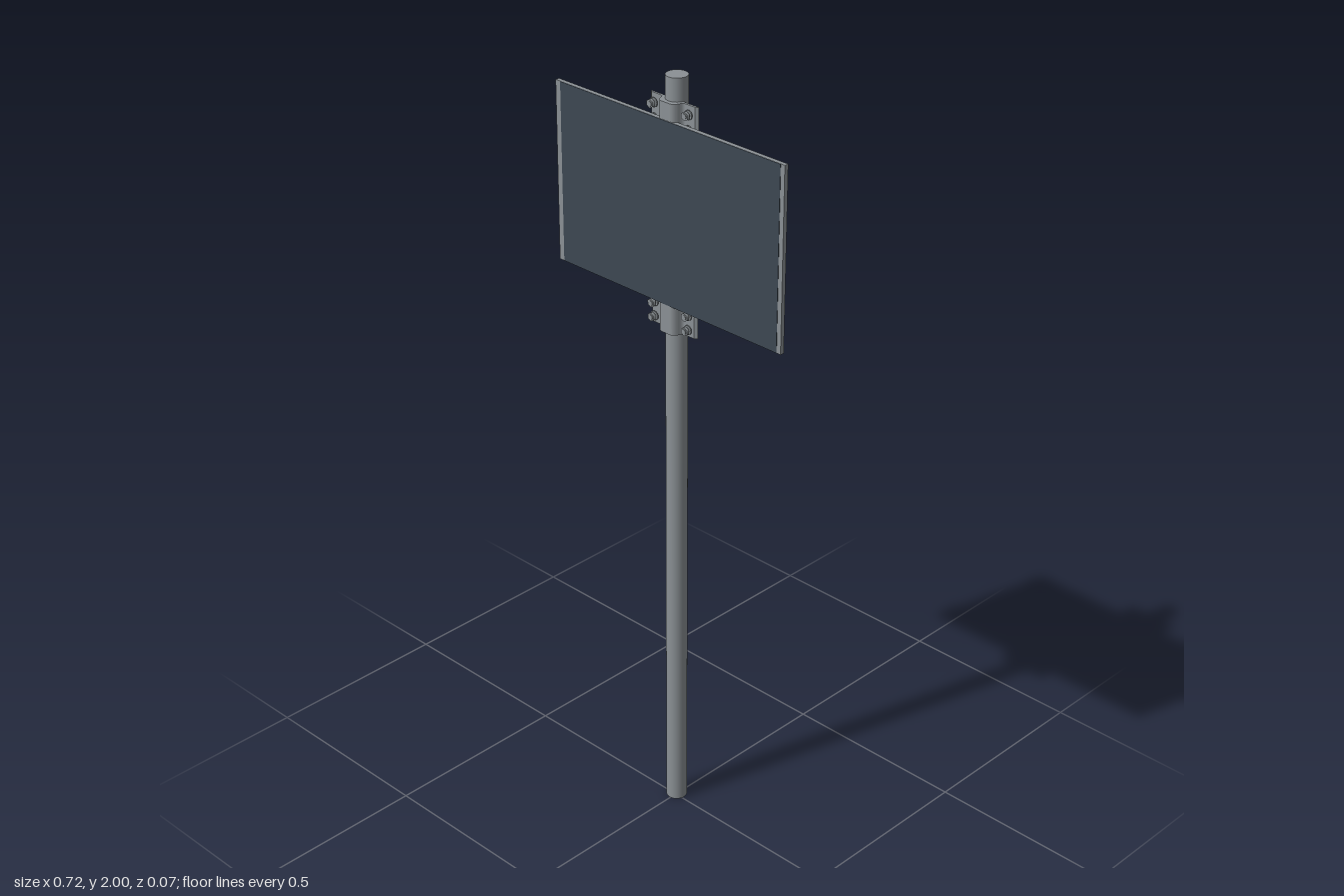
import * as THREE from 'three';

export function createModel() {
  const root = new THREE.Group();
  const steel = new THREE.MeshStandardMaterial({ color: 0x8b9195 });
  steel.name = 'galvanised steel';
  const dark = new THREE.MeshStandardMaterial({ color: 0x3d4853 });
  dark.name = 'dark panel face';

  const add = (parent, name, geometry, material, x, y, z) => {
    const mesh = new THREE.Mesh(geometry, material);
    mesh.name = name;
    mesh.position.set(x, y, z);
    parent.add(mesh);
    return mesh;
  };
  // Cylinder whose axis runs along z, from z0 to z1
  const rod = (parent, name, r, z0, z1, sides, x, y) =>
    add(parent, name, new THREE.CylinderGeometry(r, r, z1 - z0, sides).rotateX(Math.PI / 2),
      steel, x, y, (z0 + z1) / 2);

  const cx = -0.003, poleR = 0.0267, poleZ = -0.0065;

  // Post
  add(root, 'post', new THREE.CylinderGeometry(poleR, poleR, 2, 32), steel, cx, 1, poleZ);

  // Sign: steel plate with a dark face that leaves a bare strip at each side
  add(root, 'signPlate', new THREE.BoxGeometry(0.72, 0.46, 0.011), steel, 0, 1.67, 0.0265);
  add(root, 'signFace', new THREE.BoxGeometry(0.692, 0.459, 0.001), dark, 0.002, 1.67, 0.0325);

  // Saddle bracket profile: two flanges and a hump over the front of the post
  const profile = new THREE.Shape();
  profile.moveTo(-0.075, 0);
  profile.lineTo(-0.068, 0.006);
  profile.lineTo(-0.037, 0.006);
  profile.quadraticCurveTo(-0.032, 0.007, -0.029, 0.016);
  profile.quadraticCurveTo(-0.024, 0.031, -0.012, 0.031);
  profile.lineTo(0.012, 0.031);
  profile.quadraticCurveTo(0.024, 0.031, 0.029, 0.016);
  profile.quadraticCurveTo(0.032, 0.007, 0.037, 0.006);
  profile.lineTo(0.068, 0.006);
  profile.lineTo(0.075, 0);
  profile.lineTo(0.026, 0);
  profile.absarc(0, poleZ, poleR, 0.25, Math.PI - 0.25, false);
  profile.closePath();
  const saddle = new THREE.ExtrudeGeometry(profile,
    { depth: 0.078, bevelEnabled: false, curveSegments: 10 }).rotateX(Math.PI / 2);

  for (const [name, top] of [['upperBracket', 1.943], ['lowerBracket', 1.443]]) {
    const bracket = new THREE.Group();
    bracket.name = name;
    bracket.position.set(cx, top, 0);
    root.add(bracket);
    add(bracket, 'saddle', saddle, steel, 0, 0, 0);
    // Bolts with washer and nut on the front of each flange
    for (const x of [-0.056, 0.053]) for (const y of [-0.021, -0.058]) {
      rod(bracket, 'boltShank', 0.007, 0.004, 0.0265, 12, x, y);
      rod(bracket, 'boltWasher', 0.012, 0.0105, 0.0135, 16, x, y);
      rod(bracket, 'boltNut', 0.011, 0.017, 0.0245, 6, x, y);
    }
  }

  // Rear clips near the corners of the plate: rounded block, bolt head and tip
  for (const x of [-0.345, 0.328]) for (const y of [1.845, 1.495]) {
    const clip = new THREE.Group();
    clip.name = 'rearClip';
    clip.position.set(x, y, 0);
    root.add(clip);
    const side = Math.sign(x);
    add(clip, 'clipBlock', new THREE.BoxGeometry(0.028, 0.026, 0.011), steel, side * 0.004, 0, 0.0155);
    const nose = new THREE.CylinderGeometry(0.0055, 0.0055, 0.026, 12);
    add(clip, 'clipNose', nose, steel, side * -0.0125, 0, 0.0145);
    rod(clip, 'clipNut', 0.0105, 0.002, 0.0105, 6, 0, 0);
    rod(clip, 'clipBoltTip', 0.006, 0, 0.003, 12, 0, 0);
  }

  return root;
}
